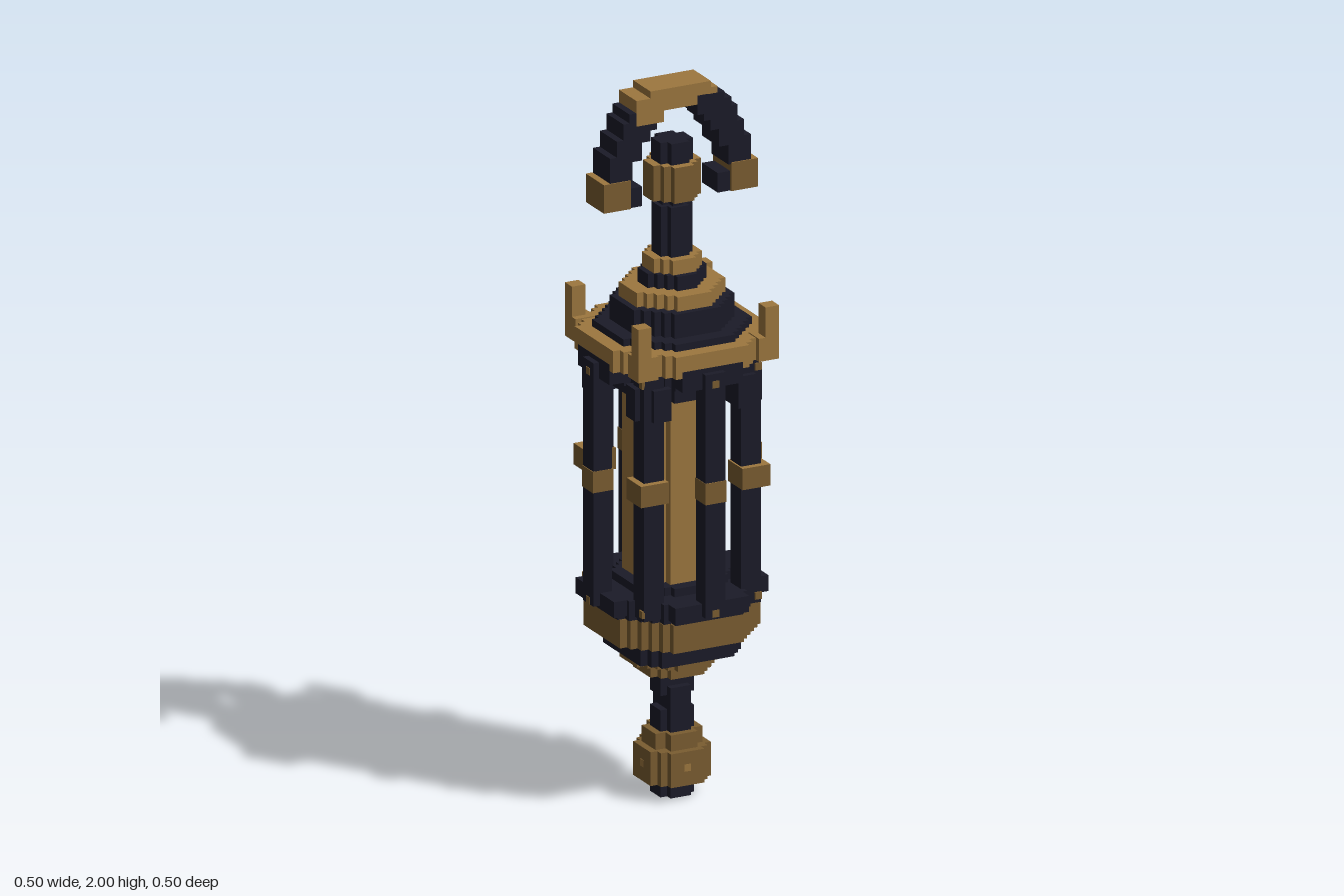
import * as THREE from 'three';

export function createModel() {
  const model = new THREE.Group();
  model.name = 'hangingLantern';
  const gold = new THREE.MeshStandardMaterial({ color: 0x9d773f });
  gold.name = 'antique gold';
  const bronze = new THREE.MeshStandardMaterial({ color: 0x7b5d31 });
  bronze.name = 'dull bronze';
  const dark = new THREE.MeshStandardMaterial({ color: 0x1b1b28 });
  dark.name = 'dark iron';
  // Bronze sides with a gold top, for boxes and for tiers
  const goldTopped = [bronze, bronze, gold, bronze, bronze, bronze];
  const goldCapped = [gold, bronze];

  // Octagon outline with stair-stepped diagonals: r = half width, f = half flat side
  function steppedOutline(r, f) {
    const n = Math.max(1, Math.round((r - f) / 0.021));
    const s = (r - f) / n;
    const corner = [];
    for (let i = 0; i < n; i++) {
      corner.push([r - i * s, f + i * s], [r - (i + 1) * s, f + i * s]);
    }
    corner.push([f, r]);
    const pts = [];
    for (let q = 0; q < 4; q++) {
      for (const [x, y] of corner) {
        const p = [[x, y], [-y, x], [-x, -y], [y, -x]][q];
        pts.push(new THREE.Vector2(p[0], p[1]));
      }
    }
    return pts;
  }

  function tier(name, mat, r, y0, y1, f = r * 0.47, hole = 0) {
    const shape = new THREE.Shape(steppedOutline(r, f));
    if (hole) shape.holes.push(new THREE.Path(steppedOutline(hole, hole * 0.47)));
    const geo = new THREE.ExtrudeGeometry(shape, { depth: y1 - y0, bevelEnabled: false });
    geo.rotateX(-Math.PI / 2);
    const mesh = new THREE.Mesh(geo, mat);
    mesh.position.y = y0;
    mesh.name = name;
    model.add(mesh);
  }

  function box(name, mat, x0, x1, y0, y1, z0, z1, parent = model) {
    const mesh = new THREE.Mesh(new THREE.BoxGeometry(x1 - x0, y1 - y0, z1 - z0), mat);
    mesh.position.set((x0 + x1) / 2, (y0 + y1) / 2, (z0 + z1) / 2);
    mesh.name = name;
    parent.add(mesh);
  }

  // Bottom finial
  tier('finialTip', dark, 0.05, 0, 0.045, 0.03);
  tier('finialBall', bronze, 0.09, 0.045, 0.14, 0.05);
  tier('finialBallTop', bronze, 0.07, 0.14, 0.185, 0.04);
  tier('finialCollar', dark, 0.05, 0.185, 0.205, 0.03);
  box('finialKnotLower', dark, -0.05, 0.05, 0.2, 0.245, -0.03, 0.03);
  box('finialKnotMiddle', dark, -0.03, 0.03, 0.205, 0.35, -0.03, 0.03);
  box('finialKnotSide', dark, -0.03, 0.03, 0.205, 0.31, -0.05, 0.05);
  box('finialKnotUpper', dark, -0.05, 0.05, 0.285, 0.35, -0.03, 0.03);

  // Stepped base
  tier('baseCollar', bronze, 0.09, 0.35, 0.385, 0.05);
  tier('baseCollarTop', bronze, 0.13, 0.385, 0.41, 0.05);
  tier('baseDish', dark, 0.15, 0.41, 0.47, 0.108);
  tier('baseBand', bronze, 0.21, 0.47, 0.55, 0.105);
  tier('baseRing', dark, 0.215, 0.55, 0.605);
  tier('baseRingTop', dark, 0.15, 0.605, 0.628);

  // Body
  tier('core', gold, 0.115, 0.61, 1.16, 0.065);
  tier('upperRing', dark, 0.15, 1.15, 1.2);
  tier('upperRingTop', dark, 0.19, 1.2, 1.25);

  // Posts, bands and studs repeated on four sides
  for (let i = 0; i < 4; i++) {
    const side = new THREE.Group();
    side.name = 'cageSide';
    side.rotation.y = i * Math.PI / 2;
    model.add(side);
    box('sidePost', dark, -0.03, 0.03, 0.57, 1.255, 0.195, 0.25, side);
    box('sidePostFoot', dark, -0.11, 0.11, 0.56, 0.605, 0.19, 0.23, side);
    box('sidePostCap', dark, -0.09, 0.09, 1.21, 1.268, 0.17, 0.2335, side);
    box('sideBand', goldTopped, -0.031, 0.031, 0.89, 0.95, 0.19, 0.252, side);
    for (const y of [0.58, 1.225]) {
      box('sideStud', bronze, -0.01, 0.01, y - 0.01, y + 0.01, 0.246, 0.252, side);
    }
    box('finialStud', gold, -0.01, 0.01, 0.085, 0.105, 0.086, 0.091, side);

    box('cornerPost', dark, 0.115, 0.175, 0.56, 1.25, 0.115, 0.175, side);
    box('cornerBracketAcross', dark, 0.1, 0.19, 1.12, 1.21, 0.1, 0.152, side);
    box('cornerBracketDeep', dark, 0.1, 0.152, 1.12, 1.21, 0.1, 0.19, side);
    box('cornerBand', goldTopped, 0.11, 0.193, 0.89, 0.95, 0.11, 0.193, side);
    for (const y of [0.58, 1.225]) {
      box('cornerStud', bronze, 0.155, 0.175, y - 0.01, y + 0.01, 0.172, 0.18, side);
    }
    box('cornerHorn', gold, 0.15, 0.21, 1.25, 1.315, 0.15, 0.21, side);
    box('cornerHornTip', gold, 0.17, 0.21, 1.31, 1.4, 0.17, 0.21, side);
  }

  // Stepped roof
  tier('roofRim', gold, 0.233, 1.25, 1.312, 0.11, 0.18);
  tier('roofPlate', dark, 0.192, 1.252, 1.332, 0.09);
  tier('roofDome', dark, 0.15, 1.332, 1.4, 0.07);
  tier('roofCrown', gold, 0.132, 1.4, 1.44, 0.052);
  tier('roofNeck', dark, 0.088, 1.44, 1.48, 0.03);
  tier('roofNeckRing', gold, 0.072, 1.48, 1.52, 0.035);

  // Shaft
  tier('shaft', dark, 0.047, 1.52, 1.66, 0.027);
  tier('shaftNeck', dark, 0.036, 1.66, 1.69, 0.016);
  tier('shaftCollar', goldCapped, 0.071, 1.68, 1.78, 0.03);
  tier('shaftTip', dark, 0.048, 1.78, 1.84, 0.027);

  // Hook arch: stair-stepped boxes, mirrored
  const steps = [
    [0.143, 0.21, 1.755, 1.83],
    [0.115, 0.19, 1.81, 1.875],
    [0.09, 0.17, 1.86, 1.92],
    [0.07, 0.152, 1.89, 1.945],
  ];
  for (const s of [-1, 1]) {
    const span = (a, b) => (s > 0 ? [a, b] : [-b, -a]);
    for (const [a, b, y0, y1] of steps) {
      box('hookStep', dark, ...span(a, b), y0, y1, -0.049, 0.049);
    }
    box('hookEnd', goldTopped, ...span(0.15, 0.23), 1.68, 1.76, -0.052, 0.052);
    box('hookBarb', dark, ...span(0.113, 0.15), 1.68, 1.735, -0.045, 0.045);
  }
  box('hookShoulder', dark, 0.05, 0.13, 1.91, 1.965, -0.05, 0.05);
  box('hookTopLeft', gold, -0.132, -0.05, 1.908, 1.98, -0.05, 0.05);
  box('hookTop', gold, -0.09, 0.09, 1.965, 2, -0.05, 0.05);
  box('hookTopUnder', gold, -0.07, 0.05, 1.94, 1.97, -0.05, 0.05);
  box('hookTopRight', gold, 0.08, 0.11, 1.964, 1.982, -0.05, 0.05);

  return model;
}
